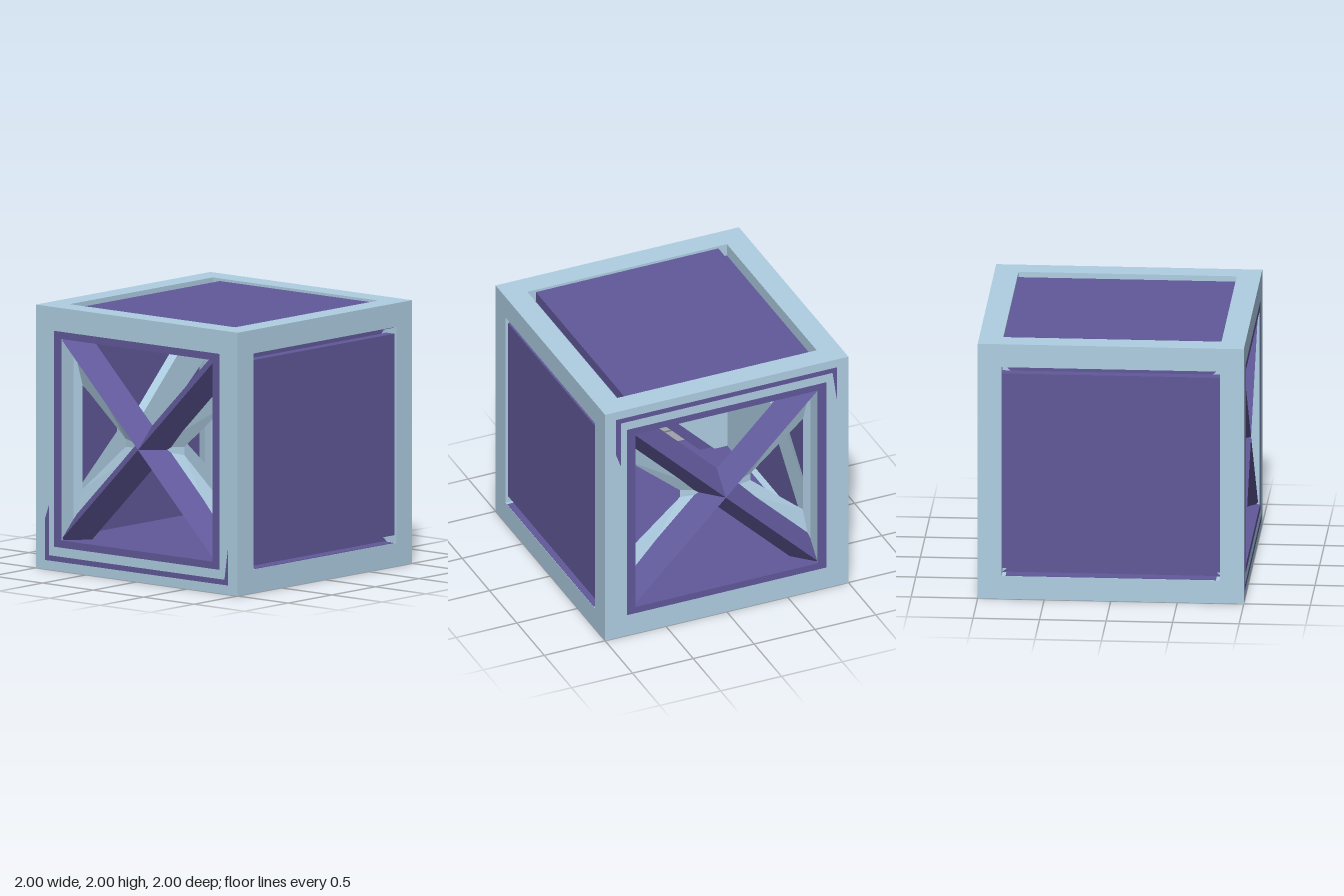
import * as THREE from 'three';
import { mergeGeometries } from 'three/addons/utils/BufferGeometryUtils.js';

const blue = new THREE.MeshStandardMaterial({ color: 0xb0cfe4 });
blue.name = 'pale blue';
const purple = new THREE.MeshStandardMaterial({ color: 0x61599a });
purple.name = 'purple';

const vecs = (pts) => pts.map(([x, y]) => new THREE.Vector2(x, y));
const rect = (w, h) => [[-w, -h], [w, -h], [w, h], [-w, h]];

function shapeOf(outline, holes = []) {
  const shape = new THREE.Shape(vecs(outline));
  for (const h of holes) shape.holes.push(new THREE.Path(vecs(h)));
  return shape;
}

// Flat outline with holes, extruded from z0 to z1
function slab(outline, holes, z0, z1) {
  const g = new THREE.ExtrudeGeometry(shapeOf(outline, holes), { depth: z1 - z0, bevelEnabled: false });
  return g.translate(0, 0, z0);
}

const box = (w, h, d, x, y, z) => new THREE.BoxGeometry(w, h, d).translate(x, y, z);

function add(parent, name, geometry, material) {
  const m = new THREE.Mesh(geometry, material);
  m.name = name;
  parent.add(m);
}

// Openings of the cross wall: straight at top and bottom, funnels at the sides
const topLoop = [[-0.73, 0.79], [0, 0.06], [0.73, 0.79]];
const sideOuter = [[0.75, -0.7], [0.75, 0.7], [0.06, 0.01], [0.06, -0.01]];
const sideInner = [[0.72, -0.4], [0.72, 0.4], [0.29, 0.03], [0.29, -0.03]];

// Cross-shaped wall whose side openings narrow towards the inside
function crossWall(z0, z1) {
  const turned = (loop, s) => loop.map(([x, y]) => [s * x, s * y]);
  const pairs = [];
  for (const s of [1, -1]) {
    pairs.push([turned(topLoop, s), turned(topLoop, s)]);
    pairs.push([turned(sideOuter, s), turned(sideInner, s)]);
  }
  const cap = (k) => new THREE.ShapeGeometry(shapeOf(rect(0.82, 0.82), pairs.map((p) => p[k]))).toNonIndexed();
  const lining = [];
  for (const [a, b] of pairs) {
    for (let i = 0; i < a.length; i++) {
      const j = (i + 1) % a.length;
      const ai = [...a[i], z1], aj = [...a[j], z1];
      const bi = [...b[i], z0], bj = [...b[j], z0];
      lining.push(...ai, ...bj, ...bi, ...ai, ...aj, ...bj);
    }
  }
  const walls = new THREE.BufferGeometry();
  walls.setAttribute('position', new THREE.Float32BufferAttribute(lining, 3));
  const parts = [cap(0).translate(0, 0, z1), cap(1).rotateY(Math.PI).translate(0, 0, z0), walls];
  for (const g of parts) {
    g.deleteAttribute('uv');
    g.computeVertexNormals();
  }
  return mergeGeometries(parts);
}

// Open side, built facing +z
function sideFace() {
  const side = new THREE.Group();
  add(side, 'crossWall', crossWall(0.79, 0.86), blue);
  for (const s of [-1, 1]) {
    // Upright edges of the opening, with a purple trim on the outside
    add(side, 'openingPost', box(0.07, 1.53, 0.137, s * 0.785, 0, 0.9265), blue);
    add(side, 'openingTrim', box(0.07, 1.53, 0.005, s * 0.785, 0, 0.9975), purple);
    // Ridged diagonal brace
    const brace = slab([[-0.118, 0.82], [0.118, 0.82], [0, 0.985]], [], -1.075, 1.075);
    add(side, 'diagonalBrace', brace.rotateX(Math.PI / 2).rotateZ(s * Math.PI / 4), purple);
  }
  // Thin painted line along one edge
  const line = [[-0.91, 0.62], [-0.87, 0.51], [-0.87, 0.89], [0.87, 0.89],
    [0.905, 0.65], [0.905, 0.93], [-0.91, 0.93]];
  add(side, 'edgeLine', slab(line, [], 0.998, 1.001), purple);
  return side;
}

export function createModel() {
  const root = new THREE.Group();
  root.name = 'crate';
  const body = new THREE.Group();
  body.name = 'crateBody';
  body.position.y = 1;
  root.add(body);

  // Outer frame: square rings on the two sides joined by four long bars
  const frame = new THREE.Group();
  frame.name = 'frame';
  body.add(frame);
  for (const s of [-1, 1]) {
    const ring = slab(rect(1, 1), [rect(0.82, 0.82)], -0.09, 0.09);
    add(frame, 'sideFrame', ring.rotateY(Math.PI / 2).translate(s * 0.91, 0, 0), blue);
    for (const t of [-1, 1]) add(frame, 'longBar', box(1.64, 0.18, 0.18, 0, s * 0.91, t * 0.91), blue);
  }

  // Front and back: raised panel on a backing with notched corners, purple lips above and below
  const notched = [[-0.82, -0.82], [0.82, -0.82], [0.76, -0.765], [0.76, 0.765],
    [0.82, 0.82], [-0.82, 0.82], [-0.76, 0.765], [-0.76, -0.765]];
  for (const [name, turn] of [['front', 0], ['back', Math.PI]]) {
    const face = new THREE.Group();
    face.name = name + 'Face';
    face.rotation.y = turn;
    add(face, name + 'Panel', box(1.64, 1.53, 0.08, 0, 0, 0.94), purple);
    add(face, name + 'Backing', slab(notched, [], 0.892, 0.902), purple);
    for (const s of [-1, 1]) add(face, name + 'Lip', box(1.58, 0.004, 0.095, 0, s * 0.818, 0.95), purple);
    add(face, 'innerCross', crossWall(0.81, 0.89), blue);
    body.add(face);
  }

  // Top and bottom: raised panel on a liner that reaches both open sides
  for (const [name, s] of [['top', 1], ['bottom', -1]]) {
    add(body, name + 'Panel', box(1.64, 0.08, 1.5, 0, s * 0.94, 0), purple);
    add(body, name + 'Backing', box(1.64, 0.08, 1.64, 0, s * 0.86, 0), purple);
    add(body, name + 'Liner', box(2, 0.055, 1.64, 0, s * 0.7925, 0), purple);
  }

  // Open sides with crossed braces
  for (const s of [-1, 1]) {
    const side = sideFace();
    side.name = s > 0 ? 'leftSide' : 'rightSide';
    side.rotation.y = s * Math.PI / 2;
    side.scale.y = s;
    body.add(side);
  }
  return root;
}
